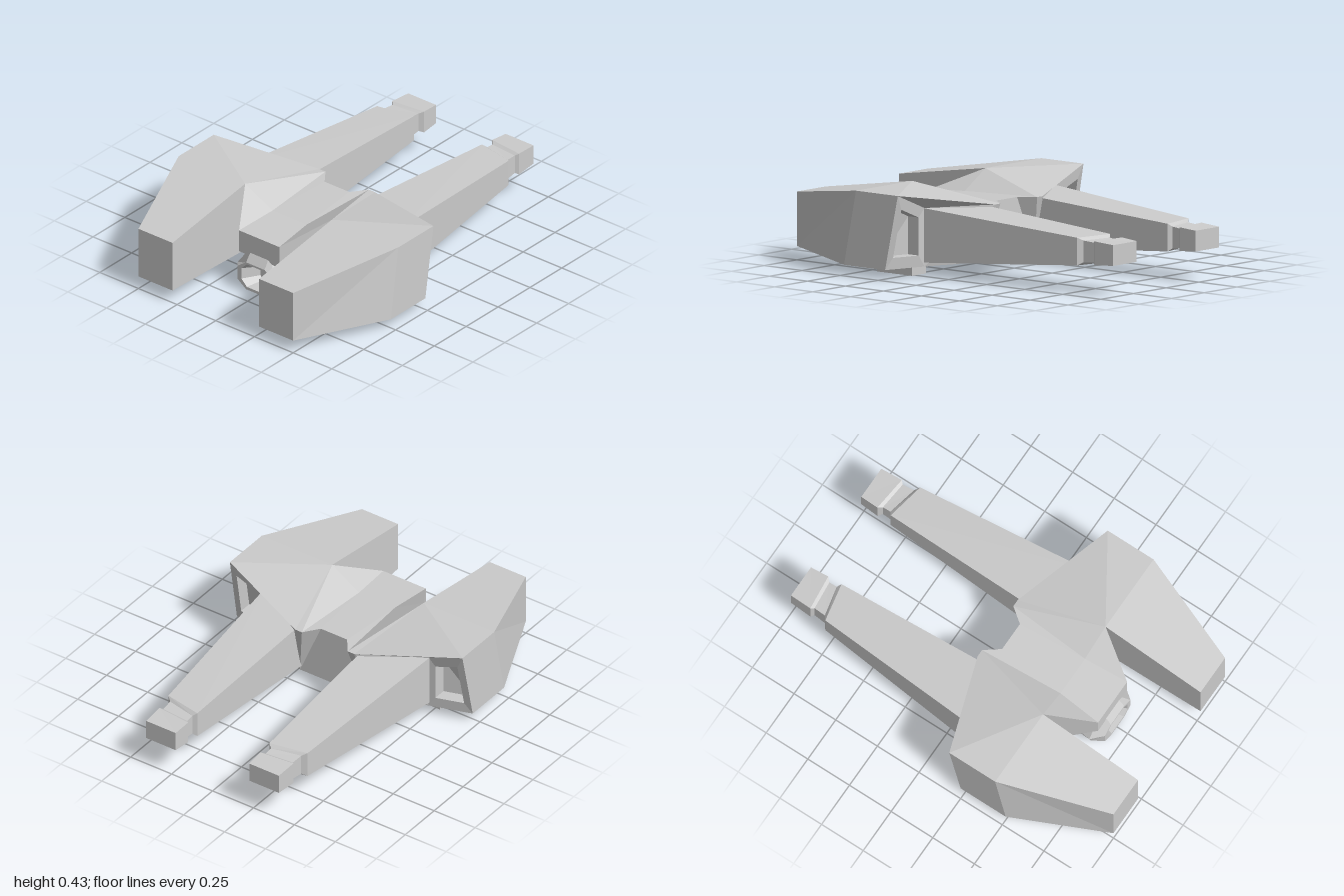
import * as THREE from 'three';

const material = new THREE.MeshStandardMaterial({ color: 0xcccccc, flatShading: true });

// Fan a polygon into triangles; a hint direction fixes which way it faces
function fan(points, hint) {
  const v = points.map((p) => new THREE.Vector3(...p));
  if (hint) {
    const n = new THREE.Vector3();
    for (let i = 0; i < v.length; i++) n.add(v[i].clone().cross(v[(i + 1) % v.length]));
    if (n.dot(new THREE.Vector3(...hint)) < 0) v.reverse();
  }
  const tris = [];
  for (let i = 1; i < v.length - 1; i++) tris.push([v[0], v[i], v[i + 1]]);
  return tris;
}

// Skin cross-sections that run counter-clockwise seen from +z
function loft(sections) {
  const tris = fan(sections[0]);
  for (let s = 0; s < sections.length - 1; s++) {
    const a = sections[s], b = sections[s + 1];
    for (let i = 0; i < a.length; i++) {
      const j = (i + 1) % a.length;
      tris.push(...fan([a[i], b[i], b[j], a[j]]));
    }
  }
  return tris.concat(fan([...sections[sections.length - 1]].reverse()));
}

// Frame around a sunken window in a four-cornered wall
function sunkenPanel(corners, inset, depth, hint) {
  const mid = [0, 1, 2].map((k) => corners.reduce((s, c) => s + c[k] / 4, 0));
  const rim = corners.map((c) => c.map((n, k) => n + (mid[k] - n) * inset));
  const floor = rim.map((c) => c.map((n, k) => n + depth[k]));
  const tris = fan(floor, hint);
  for (let i = 0; i < 4; i++) {
    const j = (i + 1) % 4;
    tris.push(...fan([corners[i], corners[j], rim[j], rim[i]], hint));
    const inward = mid.map((n, k) => n - (rim[i][k] + rim[j][k]) / 2);
    tris.push(...fan([rim[i], rim[j], floor[j], floor[i]], inward));
  }
  return tris;
}

const mirror = (tris) => tris.map((t) =>
  [t[0], t[2], t[1]].map((p) => new THREE.Vector3(-p.x, p.y, p.z)));

function addMesh(group, name, tris) {
  const geometry = new THREE.BufferGeometry().setFromPoints(tris.flat());
  geometry.computeVertexNormals();
  const mesh = new THREE.Mesh(geometry, material);
  mesh.name = name;
  group.add(mesh);
}

// Left half of the hull
function hullHalf() {
  const shoulder = [0.28, 0.43, 0.43], nose = [0.13, 0.32, 0.66];
  const troughMid = [0.11, 0.335, 0.42], troughBack = [0.08, 0.345, 0.05];
  const tailIn = [0.14, 0.345, -0.03], tailOut = [0.18, 0.345, -0.03];
  const roofFront = [0.71, 0.43, 0.43], roofBack = [0.71, 0.43, 0.155];
  const sillFront = [0.72, 0.05, 0.5], sillBack = [0.72, 0.05, 0.23];
  const wallTop = [0.5, 0.345, 0.16], wallFoot = [0.5, 0.05, 0.16];
  const rearFoot = [0.2, 0.05, 0.04], notchFoot = [0.08, 0.05, 0.04];
  const armpit = [0.28, 0.05, 0.43], arch = [0.15, 0.05, 0.36];
  const chin = [0.13, 0.2, 0.66];
  const prongIn = [0.28, 0.345, 1], prongOut = [0.5, 0.345, 1];
  const prongLowIn = [0.28, 0.07, 1], prongLowOut = [0.5, 0.07, 1];
  const centre = (p) => [0, p[1], p[2]];
  const archMid = [0, 0.05, 0.33];
  const up = [0, 1, 0], down = [0, -1, 0], back = [0, 0, -1], front = [0, 0, 1];
  return [
    // roof and central trough
    ...fan([shoulder, roofFront, roofBack, tailOut, tailIn], up),
    ...fan([shoulder, nose, troughMid], up),
    ...fan([shoulder, troughMid, troughBack, tailIn], up),
    ...fan([centre(nose), nose, troughMid, centre(troughMid)], up),
    ...fan([centre(troughMid), troughMid, troughBack, centre(troughBack)], up),
    // forward prong
    ...fan([shoulder, prongIn, prongOut, roofFront], up),
    ...fan([prongIn, prongOut, prongLowOut, prongLowIn], front),
    ...fan([shoulder, prongIn, prongLowIn, armpit], [-1, 0, 0]),
    ...fan([roofFront, prongOut, prongLowOut, sillFront], [1, 0, 0.5]),
    ...fan([roofFront, roofBack, sillBack, sillFront], [1, 0, 0]),
    // nose and its underside
    ...fan([centre(nose), nose, chin, centre(chin)], front),
    ...fan([shoulder, nose, chin, armpit], [1, 0, 1]),
    ...fan([centre(chin), chin, armpit, arch, archMid], [0, -1, 0.5]),
    // belly
    ...fan([armpit, prongLowIn, prongLowOut, sillFront], down),
    ...fan([armpit, sillFront, sillBack, wallFoot], down),
    ...fan([armpit, wallFoot, rearFoot, arch], down),
    ...fan([arch, rearFoot, notchFoot, centre(notchFoot), archMid], down),
    // rear
    ...fan([centre(troughBack), troughBack, notchFoot, centre(notchFoot)], back),
    ...fan([troughBack, tailIn, rearFoot, notchFoot], [-0.8, 0, -0.6]),
    ...fan([tailIn, tailOut, rearFoot], back),
    ...fan([tailOut, wallTop, wallFoot, rearFoot], [0.5, 0, -1]),
    ...fan([tailOut, roofBack, wallTop], [0, -1, -0.5]),
    ...sunkenPanel([wallTop, roofBack, sillBack, wallFoot], 0.35, [0, 0, 0.07], back),
  ];
}

// Rear boom: each row is outer z, inner z, inner x, outer x, low y, high y
function boom() {
  const rows = [
    [0.16, 0.16, 0.185, 0.505, 0.07, 0.345],
    [-0.78, -0.82, 0.22, 0.425, 0.14, 0.28],
    [-0.8, -0.835, 0.24, 0.4, 0.155, 0.265],
    [-0.865, -0.88, 0.24, 0.395, 0.16, 0.26],
    [-0.88, -0.9, 0.22, 0.41, 0.15, 0.27],
    [-1, -1, 0.225, 0.405, 0.157, 0.262],
  ];
  return loft(rows.map(([zo, zi, xi, xo, y0, y1]) =>
    [[xi, y0, zi], [xo, y0, zo], [xo, y1, zo], [xi, y1, zi]]));
}

// Eight-sided chin pod section from its right-hand points, bottom to top
const podSection = (z, half) => [
  ...half.map(([x, y]) => [x, y, z]),
  ...[...half].reverse().map(([x, y]) => [-x, y, z]),
];

export function createModel() {
  const model = new THREE.Group();
  const hull = hullHalf(), arm = boom();
  addMesh(model, 'hull', [...hull, ...mirror(hull)]);
  addMesh(model, 'leftBoom', arm);
  addMesh(model, 'rightBoom', mirror(arm));

  // chin pod with a hollow mouth
  addMesh(model, 'chinPod', loft([
    podSection(0.59, [[0.03, 0.04], [0.05, 0.06], [0.05, 0.11], [0.03, 0.135]]),
    podSection(0.69, [[0.055, 0.035], [0.09, 0.07], [0.09, 0.13], [0.055, 0.165]]),
    podSection(0.69, [[0.06, 0.02], [0.115, 0.06], [0.115, 0.135], [0.06, 0.175]]),
    podSection(0.63, [[0.03, 0.01], [0.15, 0.06], [0.165, 0.11], [0.055, 0.26]]),
    podSection(0.47, [[0.01, 0.007], [0.135, 0.045], [0.14, 0.1], [0.055, 0.26]]),
    podSection(0.36, [[0.01, 0.05], [0.1, 0.055], [0.1, 0.1], [0.055, 0.2]]),
  ]));

  // hollow landing feet
  const frame = new THREE.Shape();
  frame.moveTo(-0.055, -0.115).lineTo(0.055, -0.115).lineTo(0.055, 0.115).lineTo(-0.055, 0.115);
  const hole = new THREE.Path();
  hole.moveTo(-0.03, -0.08).lineTo(-0.03, 0.08).lineTo(0.03, 0.08).lineTo(0.03, -0.08);
  frame.holes.push(hole);
  const footGeometry = new THREE.ExtrudeGeometry(frame, { depth: 0.055, bevelEnabled: false });
  footGeometry.rotateX(-Math.PI / 2);
  for (const side of [1, -1]) {
    const foot = new THREE.Mesh(footGeometry, material);
    foot.name = side > 0 ? 'leftFoot' : 'rightFoot';
    foot.position.set(side * 0.472, 0, 0.335);
    model.add(foot);
  }
  return model;
}
